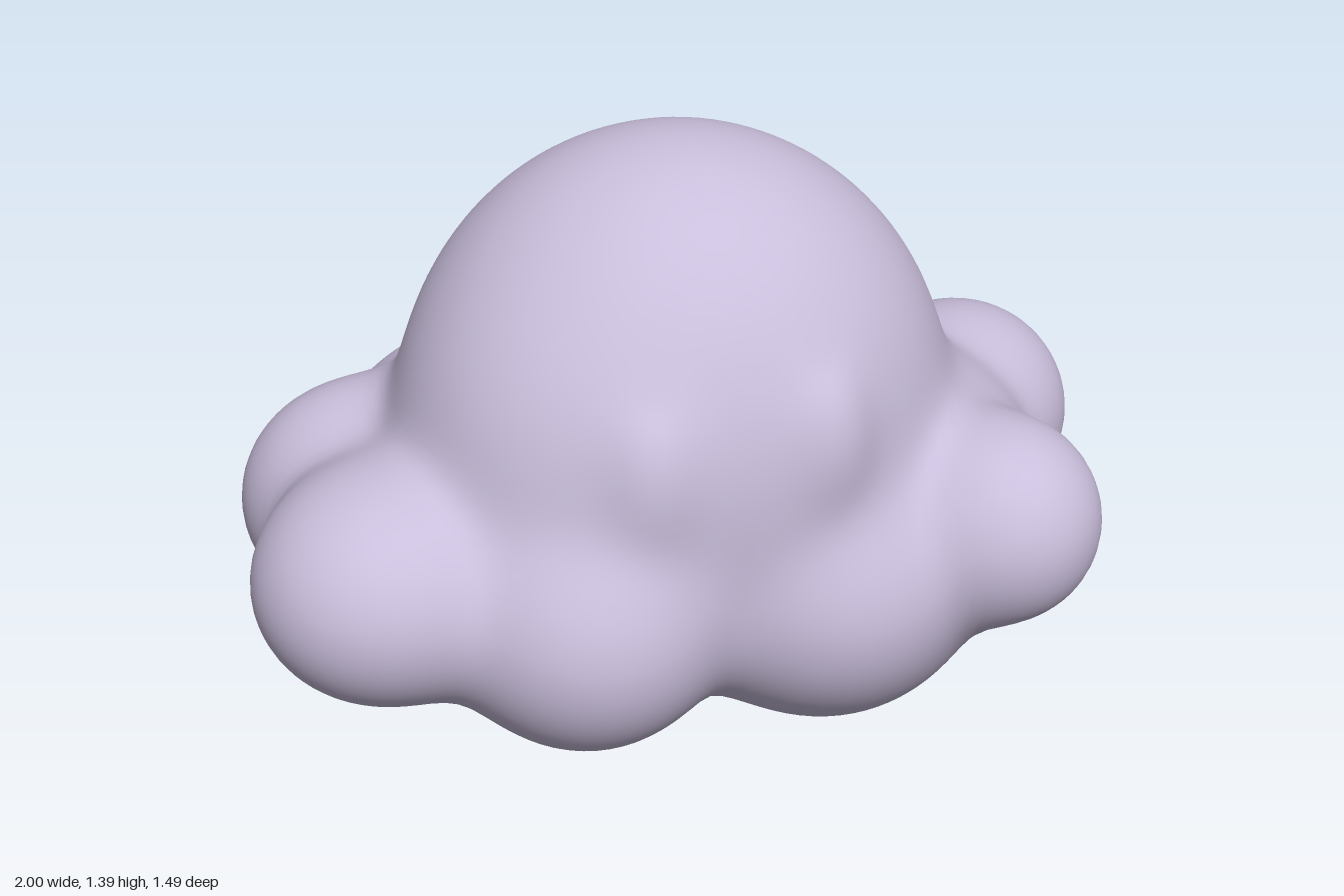
import * as THREE from 'three';

// Soft lobes: centre x, y, z, then radii x, y, z
const LOBES = [
  [0, 0.75, 0.04, 0.61, 0.64, 0.54],         // dome
  [-0.17, 0.74, 0.18, 0.42, 0.42, 0.4],      // dome flanks, along one diagonal
  [0.18, 0.72, -0.12, 0.41, 0.42, 0.4],
  [0, 0.5, -0.02, 0.58, 0.32, 0.48],         // core
  [-0.23, 0.43, 0.42, 0.31, 0.31, 0.325],    // front puffs and their bases
  [-0.27, 0.31, 0.17, 0.32, 0.3, 0.32],
  [0.31, 0.41, 0.25, 0.33, 0.32, 0.345],
  [0.35, 0.31, 0.14, 0.34, 0.3, 0.32],
  [0.19, 0.42, -0.4, 0.41, 0.32, 0.345],     // back puffs and their bases
  [0.34, 0.31, -0.2, 0.24, 0.28, 0.28],
  [-0.34, 0.32, -0.22, 0.32, 0.31, 0.31],
  [-0.47, 0.46, -0.26, 0.29, 0.28, 0.28],
  [-0.18, 0.46, -0.3, 0.27, 0.28, 0.26],
  [0.57, 0.5, 0, 0.27, 0.26, 0.28],          // left shoulder and side puffs
  [0.71, 0.54, 0.315, 0.23, 0.235, 0.235],
  [0.735, 0.475, -0.33, 0.265, 0.26, 0.27],
  [-0.67, 0.5, 0.38, 0.295, 0.265, 0.295],   // right side puffs and underside
  [-0.71, 0.48, -0.03, 0.285, 0.28, 0.235],
  [-0.55, 0.4, 0.1, 0.26, 0.25, 0.28],
  [-0.1, 0.83, 0.56, 0.055, 0.1, 0.055],     // small brow bumps
  [0.28, 0.86, 0.47, 0.055, 0.1, 0.055],
];
const BLEND = 0.05;

// Blended distance to all the lobes
function field(x, y, z) {
  let sum = 0;
  for (const [cx, cy, cz, rx, ry, rz] of LOBES) {
    const a = (x - cx) / rx, b = (y - cy) / ry, c = (z - cz) / rz;
    const k0 = Math.hypot(a, b, c);
    const k1 = Math.hypot(a / rx, b / ry, c / rz) + 1e-6;
    const d = k0 < 1e-3 ? -Math.min(rx, ry, rz) : k0 * (k0 - 1) / k1;
    sum += Math.exp(-d / BLEND);
  }
  return -BLEND * Math.log(sum + 1e-200);
}

function gradient(x, y, z) {
  const e = 0.002;
  return new THREE.Vector3(
    field(x + e, y, z) - field(x - e, y, z),
    field(x, y + e, z) - field(x, y - e, z),
    field(x, y, z + e) - field(x, y, z - e)).divideScalar(2 * e);
}

// Skin the field with one vertex per crossed grid cell
function skinGeometry() {
  const step = 0.03, min = [-1.14, -0.15, -0.93], n = [77, 58, 63];
  const stride = [1, n[0], n[0] * n[1]];
  const values = new Float32Array(n[0] * n[1] * n[2]);
  const at = (i, j, k) => i + j * stride[1] + k * stride[2];
  for (let k = 0; k < n[2]; k++) for (let j = 0; j < n[1]; j++) for (let i = 0; i < n[0]; i++) {
    values[at(i, j, k)] = field(min[0] + i * step, min[1] + j * step, min[2] + k * step);
  }
  const positions = [], normals = [], index = [], cell = new Map();
  for (let k = 0; k < n[2] - 1; k++) for (let j = 0; j < n[1] - 1; j++) for (let i = 0; i < n[0] - 1; i++) {
    let inside = 0;
    for (let c = 0; c < 8; c++) if (values[at(i + (c & 1), j + (c >> 1 & 1), k + (c >> 2))] < 0) inside++;
    if (inside === 0 || inside === 8) continue;
    const p = new THREE.Vector3(i + 0.5, j + 0.5, k + 0.5).multiplyScalar(step);
    p.add(new THREE.Vector3(...min));
    // Slide the cell centre onto the surface
    for (let s = 0; s < 4; s++) {
      const g = gradient(p.x, p.y, p.z);
      const move = field(p.x, p.y, p.z) / Math.max(g.lengthSq(), 0.2);
      p.addScaledVector(g, -THREE.MathUtils.clamp(move, -step, step));
    }
    cell.set(at(i, j, k), positions.length / 3);
    positions.push(p.x, p.y, p.z);
    const normal = gradient(p.x, p.y, p.z).normalize();
    normals.push(normal.x, normal.y, normal.z);
  }
  // One quad around every grid edge that crosses the surface
  for (let k = 1; k < n[2] - 1; k++) for (let j = 1; j < n[1] - 1; j++) for (let i = 1; i < n[0] - 1; i++) {
    const p = at(i, j, k);
    for (let a = 0; a < 3; a++) {
      const inside = values[p] < 0;
      if (inside === (values[p + stride[a]] < 0)) continue;
      const b = stride[(a + 1) % 3], c = stride[(a + 2) % 3];
      const q = [p, p - b, p - b - c, p - c].map((id) => cell.get(id));
      if (!inside) q.reverse();
      index.push(q[0], q[1], q[2], q[0], q[2], q[3]);
    }
  }
  const geometry = new THREE.BufferGeometry();
  geometry.setAttribute('position', new THREE.Float32BufferAttribute(positions, 3));
  geometry.setAttribute('normal', new THREE.Float32BufferAttribute(normals, 3));
  geometry.setIndex(index);

  // Stand on the floor, centred
  geometry.computeBoundingBox();
  const centre = geometry.boundingBox.getCenter(new THREE.Vector3());
  geometry.translate(-centre.x, -geometry.boundingBox.min.y, -centre.z);
  return geometry;
}

export function createModel() {
  const model = new THREE.Group();
  model.name = 'puffyCloud';
  const lavender = new THREE.MeshStandardMaterial({ color: 0xc9bedb });
  lavender.name = 'pale lavender';
  const body = new THREE.Mesh(skinGeometry(), lavender);
  body.name = 'cloudBody';
  model.add(body);
  return model;
}
